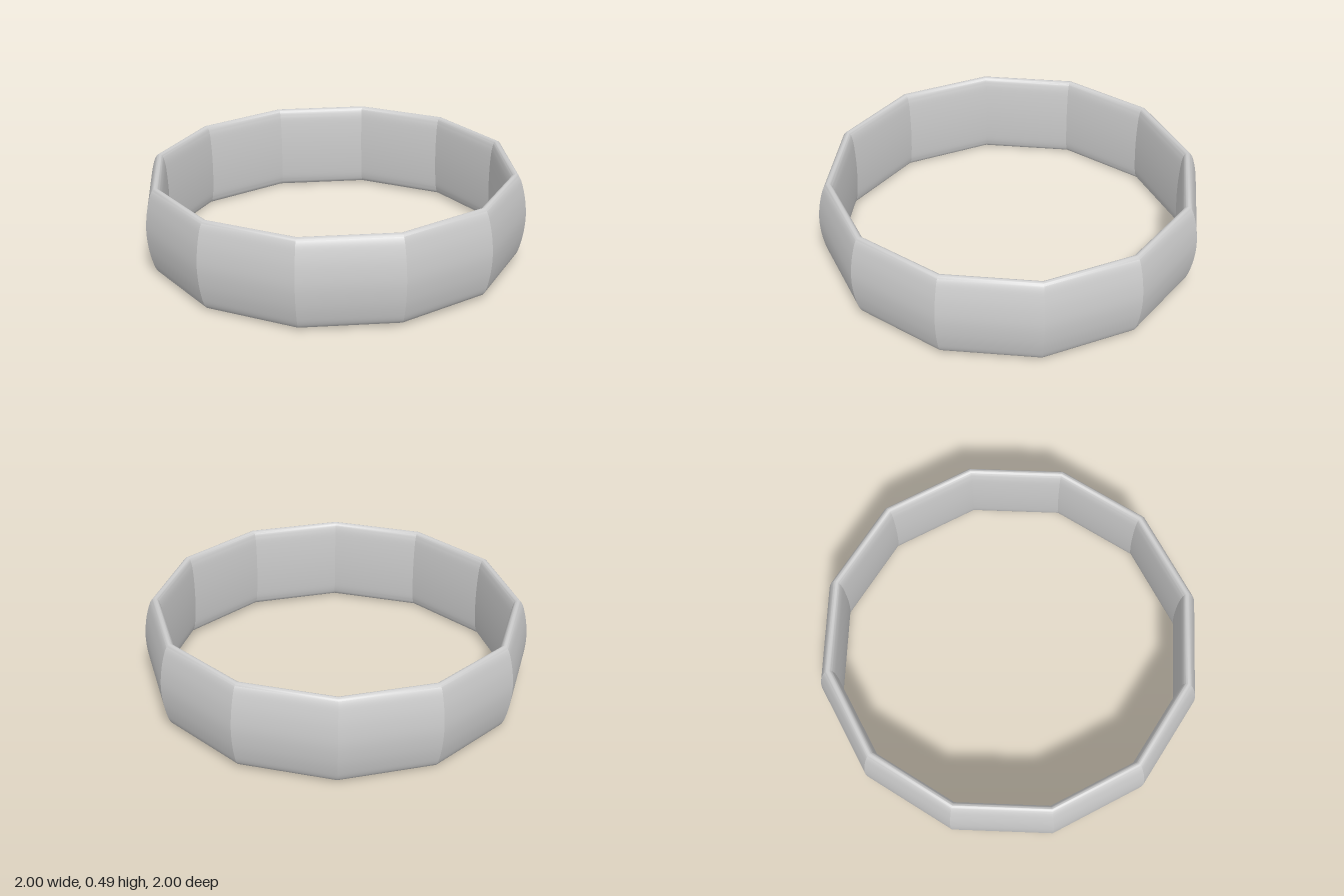
import * as THREE from 'three';
import { toCreasedNormals } from 'three/addons/utils/BufferGeometryUtils.js';

export function createModel() {
  const group = new THREE.Group();
  const material = new THREE.MeshStandardMaterial({ color: 0xcccccc });

  // Half of the band's cross-section: [radius, height above the middle]
  const outer = [[1.024, 0], [1.017, 0.09], [1.003, 0.16], [0.987, 0.21], [0.972, 0.232]];
  const inner = [[0.947, 0.229], [0.935, 0.2], [0.926, 0.13], [0.921, 0]];
  const upper = [...outer, [0.96, 0.2365], ...inner];

  // Mirror it into a closed loop, running up the outside and down the inside
  const lower = upper.slice(1, -1).reverse().map(([r, y]) => [r, -y]);
  const loop = [...upper, ...lower].map(([r, y]) => new THREE.Vector3(r, y, 0));
  const curve = new THREE.CatmullRomCurve3(loop, true);
  const profile = curve.getPoints(72).map((p) => new THREE.Vector2(p.x, p.y));

  // Twelve flat sides around, smooth over the curved section
  const sides = 12;
  const lathe = new THREE.LatheGeometry(profile, sides, THREE.MathUtils.degToRad(-12.5));
  const ring = new THREE.Mesh(toCreasedNormals(lathe, THREE.MathUtils.degToRad(25)), material);
  ring.name = 'ringBand';

  // The band rests with a slight tilt
  ring.rotation.set(-0.008, 0, 0.008);
  ring.position.y = 0.2475;
  group.add(ring);
  return group;
}
